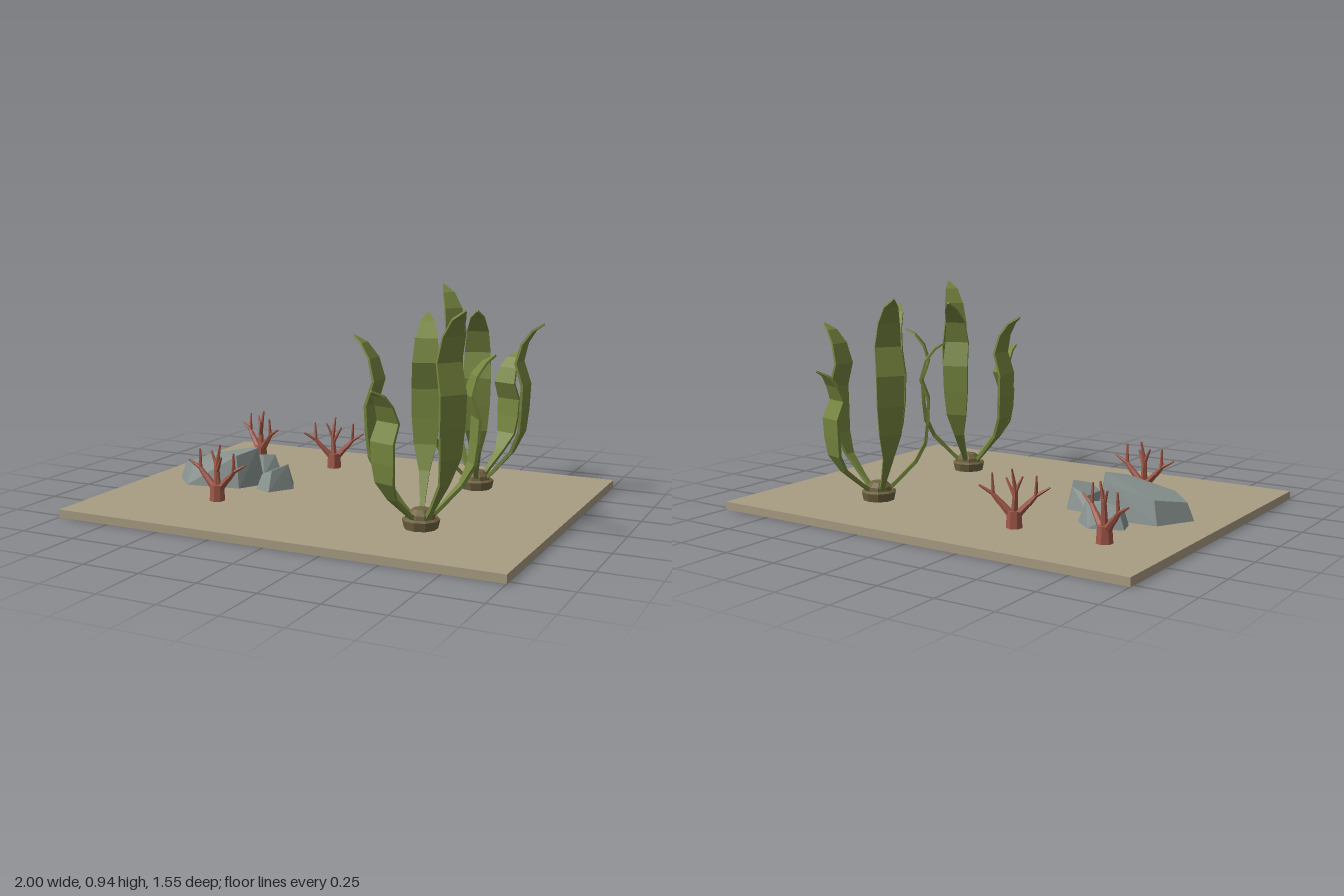
import * as THREE from 'three';
import { ConvexGeometry } from 'three/addons/geometries/ConvexGeometry.js';

const mat = (color) => new THREE.MeshStandardMaterial({ color, flatShading: true });
const sand = mat(0xa89c82), kelp = mat(0x76863f), root = mat(0x6e6240);
const coralRed = mat(0xa05848), stone = mat(0x87928f);
const FLOOR = 0.035;

function add(parent, name, geometry, material, x = 0, y = 0, z = 0) {
  const mesh = new THREE.Mesh(geometry, material);
  mesh.name = name;
  mesh.position.set(x, y, z);
  parent.add(mesh);
  return mesh;
}

// Blade rows: height fraction, distance from the plant axis, width
const BLADE = [
  [0, 0.04, 0.02], [0.07, 0.09, 0.022], [0.2, 0.175, 0.045], [0.33, 0.22, 0.095],
  [0.47, 0.23, 0.115], [0.62, 0.235, 0.12], [0.76, 0.2, 0.112], [0.88, 0.225, 0.092],
  [0.96, 0.255, 0.06], [1, 0.3, 0.006],
];

// A thin strip with a rectangular section, waving outward along +x
function bladeGeometry(height, bulge) {
  const pts = BLADE.map(([f, r], i) =>
    new THREE.Vector2(i < 8 ? r * bulge : r, 0.075 + f * (height - 0.075)));
  const pos = [], idx = [], n = pts.length;
  pts.forEach((p, i) => {
    const dir = pts[Math.min(i + 1, n - 1)].clone().sub(pts[Math.max(i - 1, 0)]).normalize();
    const t = 0.008 - 0.004 * (i / (n - 1)), w = BLADE[i][2] / 2;
    const nx = dir.y * t, ny = -dir.x * t;
    for (const [s, u] of [[1, -1], [1, 1], [-1, 1], [-1, -1]])
      pos.push(p.x + s * nx, p.y + s * ny, u * w);
  });
  for (let i = 0; i < n - 1; i++)
    for (let j = 0; j < 4; j++) {
      const a = i * 4 + j, b = i * 4 + (j + 1) % 4;
      idx.push(a, a + 4, b, b, a + 4, b + 4);
    }
  const e = (n - 1) * 4;
  idx.push(0, 1, 2, 0, 2, 3, e, e + 2, e + 1, e, e + 3, e + 2);
  const g = new THREE.BufferGeometry();
  g.setAttribute('position', new THREE.Float32BufferAttribute(pos, 3));
  g.setIndex(idx);
  const flat = g.toNonIndexed();
  flat.computeVertexNormals();
  return flat;
}

// Five blades of different heights around a knobbly root
function makePlant(x, z, turn) {
  const plant = new THREE.Group();
  plant.name = 'seaweed';
  plant.position.set(x, 0, z);
  plant.rotation.y = turn;
  const profile = [[0.07, FLOOR], [0.078, 0.072], [0.066, 0.08], [0.06, 0.074],
    [0.056, 0.095], [0.035, 0.115], [0, 0.122]].map(([r, y]) => new THREE.Vector2(r, y));
  add(plant, 'root', new THREE.LatheGeometry(profile, 10), root);
  [[0.8, 0.95], [0.63, 1], [0.94, 0.95], [0.73, 0.95], [0.875, 0.85]].forEach(([h, bulge], i) => {
    add(plant, 'blade', bladeGeometry(h, bulge), kelp).rotation.y = i * Math.PI * 2 / 5;
  });
  return plant;
}

// Tapered round limb between two points
function limb(parent, name, a, b, ra, rb, sides = 6) {
  const p = new THREE.Vector3(...a), q = new THREE.Vector3(...b);
  const d = q.clone().sub(p);
  const mesh = add(parent, name, new THREE.CylinderGeometry(rb, ra, d.length(), sides), coralRed);
  mesh.position.copy(p).add(q).multiplyScalar(0.5);
  mesh.quaternion.setFromUnitVectors(new THREE.Vector3(0, 1, 0), d.normalize());
}

// Fan of forked branches on a short trunk
function makeCoral(x, z, turn) {
  const coral = new THREE.Group();
  coral.name = 'coral';
  coral.position.set(x, 0, z);
  coral.rotation.y = turn;
  limb(coral, 'coralTrunk', [0, FLOOR, 0], [0, 0.105, 0], 0.035, 0.03, 7);
  for (const s of [-1, 1]) {
    limb(coral, 'branch', [s * 0.01, 0.085, 0], [s * 0.06, 0.14, s * 0.008], 0.018, 0.013);
    limb(coral, 'branch', [s * 0.06, 0.137, s * 0.008], [s * 0.092, 0.175, s * 0.012], 0.013, 0.009);
    limb(coral, 'twig', [s * 0.09, 0.172, s * 0.012], [s * 0.145, 0.205, s * 0.012], 0.009, 0.004);
    limb(coral, 'twig', [s * 0.088, 0.17, s * 0.012], [s * 0.092, 0.255, s * 0.02], 0.009, 0.004);
  }
  limb(coral, 'branch', [0, 0.09, 0], [-0.006, 0.19, -0.01], 0.016, 0.011);
  limb(coral, 'twig', [-0.006, 0.185, -0.01], [0.008, 0.28, -0.018], 0.011, 0.004);
  limb(coral, 'twig', [-0.006, 0.185, -0.01], [-0.036, 0.25, -0.02], 0.009, 0.004);
  limb(coral, 'twig', [-0.003, 0.16, -0.006], [0.035, 0.235, 0.022], 0.009, 0.004);
  return coral;
}

// Faceted boulder: footprint corners [x, z] and top corners [x, y, z]
function addRock(parent, name, foot, top) {
  const pts = [...foot.map(([x, z]) => new THREE.Vector3(x, FLOOR, z)),
    ...top.map((p) => new THREE.Vector3(...p))];
  add(parent, name, new ConvexGeometry(pts), stone);
}

export function createModel() {
  const model = new THREE.Group();
  model.name = 'seabed';
  add(model, 'seaFloor', new THREE.BoxGeometry(2, FLOOR, 1.55), sand, 0, FLOOR / 2, 0);

  model.add(makePlant(0.47, -0.365, 0), makePlant(0.495, 0.355, Math.PI));

  model.add(makeCoral(-0.71, -0.44, -0.33), makeCoral(-0.295, -0.44, 0.48),
    makeCoral(-0.475, 0.345, 0.07));

  addRock(model, 'largeRock',
    [[-0.86, 0.05], [-0.77, -0.11], [-0.52, -0.135], [-0.43, 0.005], [-0.495, 0.13], [-0.75, 0.17]],
    [[-0.83, 0.11, 0.045], [-0.745, 0.135, -0.09], [-0.54, 0.18, -0.105],
      [-0.465, 0.203, 0.005], [-0.52, 0.18, 0.105], [-0.735, 0.13, 0.13]]);
  addRock(model, 'backRock',
    [[-0.69, -0.24], [-0.55, -0.295], [-0.46, -0.215], [-0.525, -0.155], [-0.665, -0.155]],
    [[-0.665, 0.1, -0.235], [-0.565, 0.11, -0.26], [-0.495, 0.125, -0.21],
      [-0.545, 0.125, -0.18], [-0.65, 0.11, -0.175]]);
  addRock(model, 'sideRock',
    [[-0.42, -0.075], [-0.32, -0.07], [-0.27, 0.025], [-0.34, 0.13], [-0.42, 0.1]],
    [[-0.405, 0.1, -0.04], [-0.335, 0.13, -0.045], [-0.3, 0.145, 0.02],
      [-0.345, 0.125, 0.09], [-0.405, 0.1, 0.075]]);
  return model;
}
